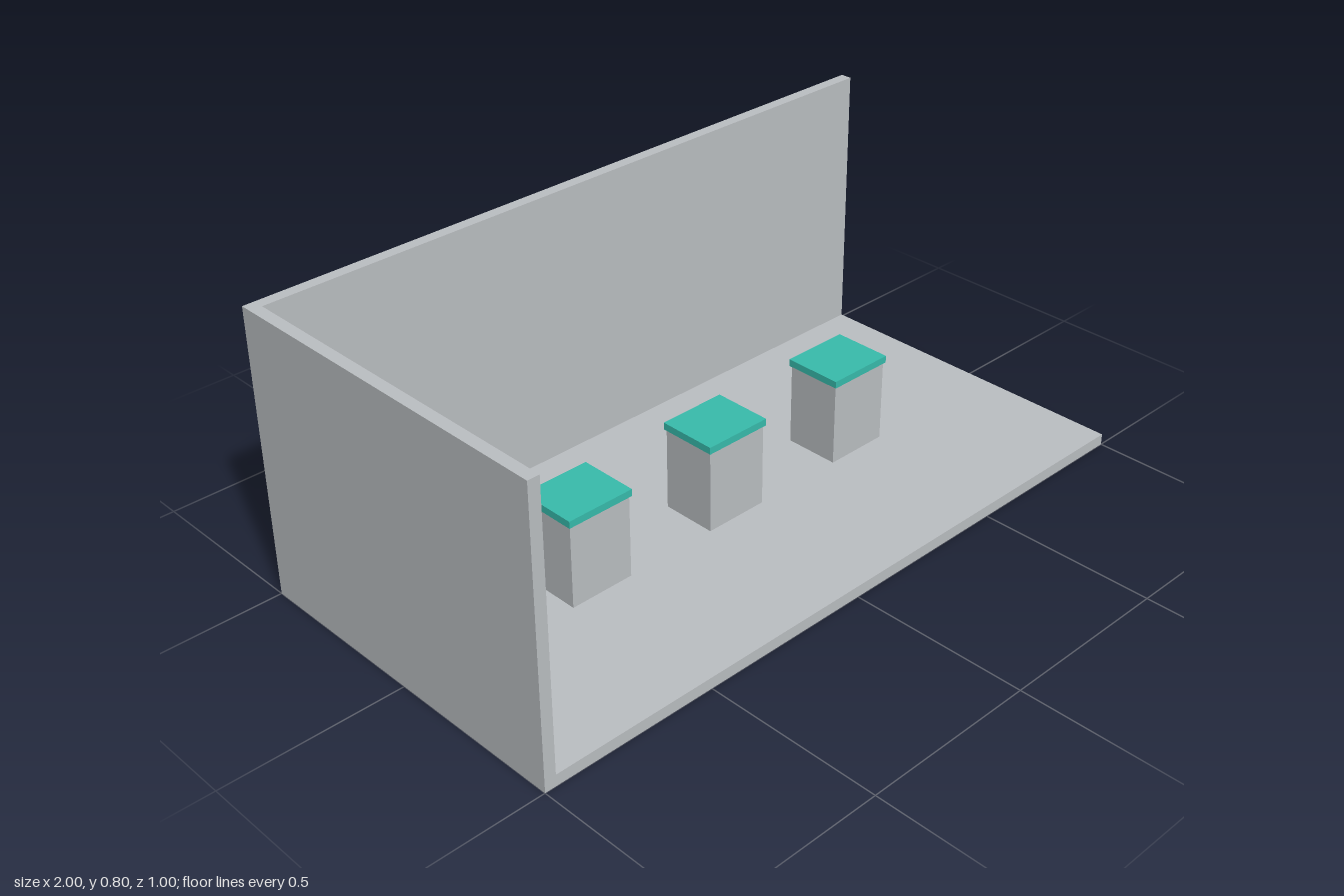
import * as THREE from 'three';

const grey = new THREE.MeshStandardMaterial({ name: 'pale grey', color: 0xbcc0c3 });
const teal = new THREE.MeshStandardMaterial({ name: 'teal', color: 0x38bdad });

// Box given by its minimum and maximum corners
function box(name, material, [x0, y0, z0], [x1, y1, z1]) {
  const mesh = new THREE.Mesh(new THREE.BoxGeometry(x1 - x0, y1 - y0, z1 - z0), material);
  mesh.position.set((x0 + x1) / 2, (y0 + y1) / 2, (z0 + z1) / 2);
  mesh.name = name;
  return mesh;
}

export function createModel() {
  const model = new THREE.Group();
  model.name = 'displayRoom';
  const t = 0.032; // thickness of floor and walls
  const height = 0.8;

  // Room open at the front and on one side
  model.add(
    box('floor', grey, [-1, 0, -0.5], [1, t, 0.5]),
    box('backWall', grey, [-1, t, -0.5], [1, height, -0.5 + t]),
    box('sideWall', grey, [-1, t, -0.5 + t], [-1 + t, height, 0.5])
  );

  // Row of plinths with overhanging coloured tops
  for (const x of [-0.46, 0, 0.46]) {
    const plinth = new THREE.Group();
    plinth.name = 'plinth';
    plinth.position.x = x;
    plinth.add(
      box('plinthBody', grey, [-0.094, t, -0.079], [0.094, 0.267, 0.079]),
      box('plinthTop', teal, [-0.099, 0.267, -0.084], [0.099, 0.287, 0.084])
    );
    model.add(plinth);
  }
  return model;
}
